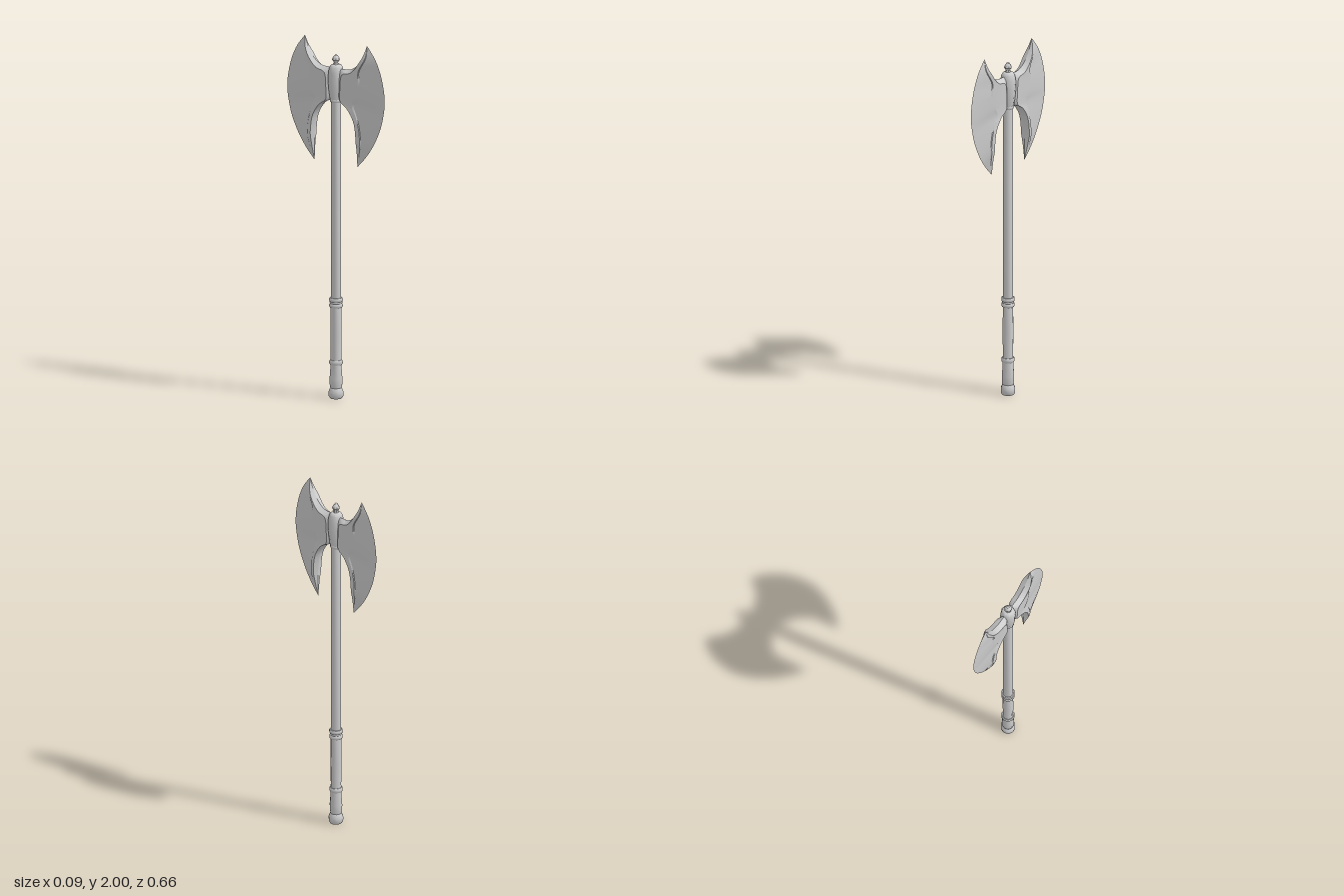
import * as THREE from 'three';
import { toCreasedNormals } from 'three/addons/utils/BufferGeometryUtils.js';

const steel = new THREE.MeshStandardMaterial({ color: 0xcccccc });
steel.name = 'pale grey';

// Turned part from [radius, height] pairs, bottom to top
function turned(name, profile, sides = 10, crease = 0.8) {
  const points = profile.map(([r, y]) => new THREE.Vector2(r, y));
  const mesh = new THREE.Mesh(toCreasedNormals(new THREE.LatheGeometry(points, sides), crease), steel);
  mesh.name = name;
  return mesh;
}

// Blade guide curves as [z, y], from the top tip to the bottom tip
const cuttingEdge = [[.21, 2], [.262, 1.935], [.295, 1.87], [.315, 1.805], [.327, 1.74], [.329, 1.68],
  [.32, 1.62], [.302, 1.55], [.275, 1.487], [.24, 1.425], [.195, 1.365], [.145, 1.312]];
const panelEdge = [[.21, 2], [.212, 1.935], [.168, 1.845], [.174, 1.80], [.175, 1.755], [.162, 1.70],
  [.135, 1.655], [.155, 1.60], [.172, 1.54], [.18, 1.47], [.172, 1.40], [.145, 1.312]];
const innerEdge = [[.21, 2], [.19, 1.945], [.15, 1.885], [.095, 1.85], [.02, 1.84], [.01, 1.755],
  [.02, 1.675], [.075, 1.645], [.125, 1.58], [.142, 1.50], [.146, 1.41], [.145, 1.312]];

function bladeGeometry() {
  const [outer, panel, inner] = [cuttingEdge, panelEdge, innerEdge].map((line) =>
    new THREE.CatmullRomCurve3(line.map(([z, y]) => new THREE.Vector3(0, y, z))));
  const rows = 44, ring = 8, positions = [], indices = [];
  for (let r = 0; r <= rows; r++) {
    const t = r / rows;
    const o = outer.getPoint(t), m = panel.getPoint(t), i = inner.getPoint(t);
    const k = Math.min(1, Math.min(t, 1 - t) * 7); // thins out toward the tips
    const at = (p, x) => new THREE.Vector3(x, p.y, p.z);
    const step = i.clone().lerp(m, 0.9), shoulder = i.clone().lerp(m, 0.25);
    const section = [at(o, 0), at(m, .02 * k), at(step, .0245 * k), at(shoulder, .029 * k),
      at(i, 0), at(shoulder, -.029 * k), at(step, -.0245 * k), at(m, -.02 * k)];
    section.forEach((p) => positions.push(p.x, p.y, p.z));
    if (r === rows) break;
    for (let j = 0; j < ring; j++) {
      const a = r * ring + j, b = r * ring + (j + 1) % ring;
      indices.push(a, a + ring, b, b, a + ring, b + ring);
    }
  }
  const g = new THREE.BufferGeometry();
  g.setAttribute('position', new THREE.Float32BufferAttribute(positions, 3));
  g.setIndex(indices);
  return toCreasedNormals(g, 0.25);
}

export function createModel() {
  const model = new THREE.Group();
  model.name = 'doubleAxe';

  // Handle
  model.add(turned('shaft', [[.028, .5], [.028, 1.7]]));
  model.add(turned('grip', [[.031, .18], [.029, .23], [.0305, .36], [.029, .52]]));
  model.add(turned('lowerGrip', [[.029, .05], [.034, .075], [.035, .11], [.031, .16], [.031, .2]]));
  model.add(turned('pommel', [[0, 0], [.033, 0], [.04, .012], [.041, .035], [.033, .055], [.028, .062]]));
  // Rings
  const ring = (name, y, h, r) => turned(name,
    [[.026, y], [r - .004, y], [r, y + h * .3], [r, y + h * .7], [r - .004, y + h], [.026, y + h]]);
  model.add(ring('lowerRing', .188, .026, .037));
  model.add(ring('upperRingBottom', .508, .022, .037));
  model.add(ring('upperRingBand', .528, .014, .034));
  model.add(ring('upperRingTop', .54, .022, .038));
  model.add(ring('headCollar', 1.655, .022, .033));

  // Head socket and finial
  model.add(turned('socket', [[.03, 1.66], [.034, 1.68], [.041, 1.73], [.044, 1.78], [.042, 1.825],
    [.036, 1.853], [.028, 1.864], [0, 1.87]], 8));
  model.add(turned('finial', [[.02, 1.86], [.012, 1.872], [.013, 1.88], [.022, 1.892], [.019, 1.902],
    [.008, 1.918], [0, 1.925]], 7));

  // Two opposite blades
  const geometry = bladeGeometry();
  ['frontBlade', 'backBlade'].forEach((name, n) => {
    const blade = new THREE.Mesh(geometry, steel);
    blade.name = name;
    blade.rotation.y = n * Math.PI;
    model.add(blade);
  });
  return model;
}
